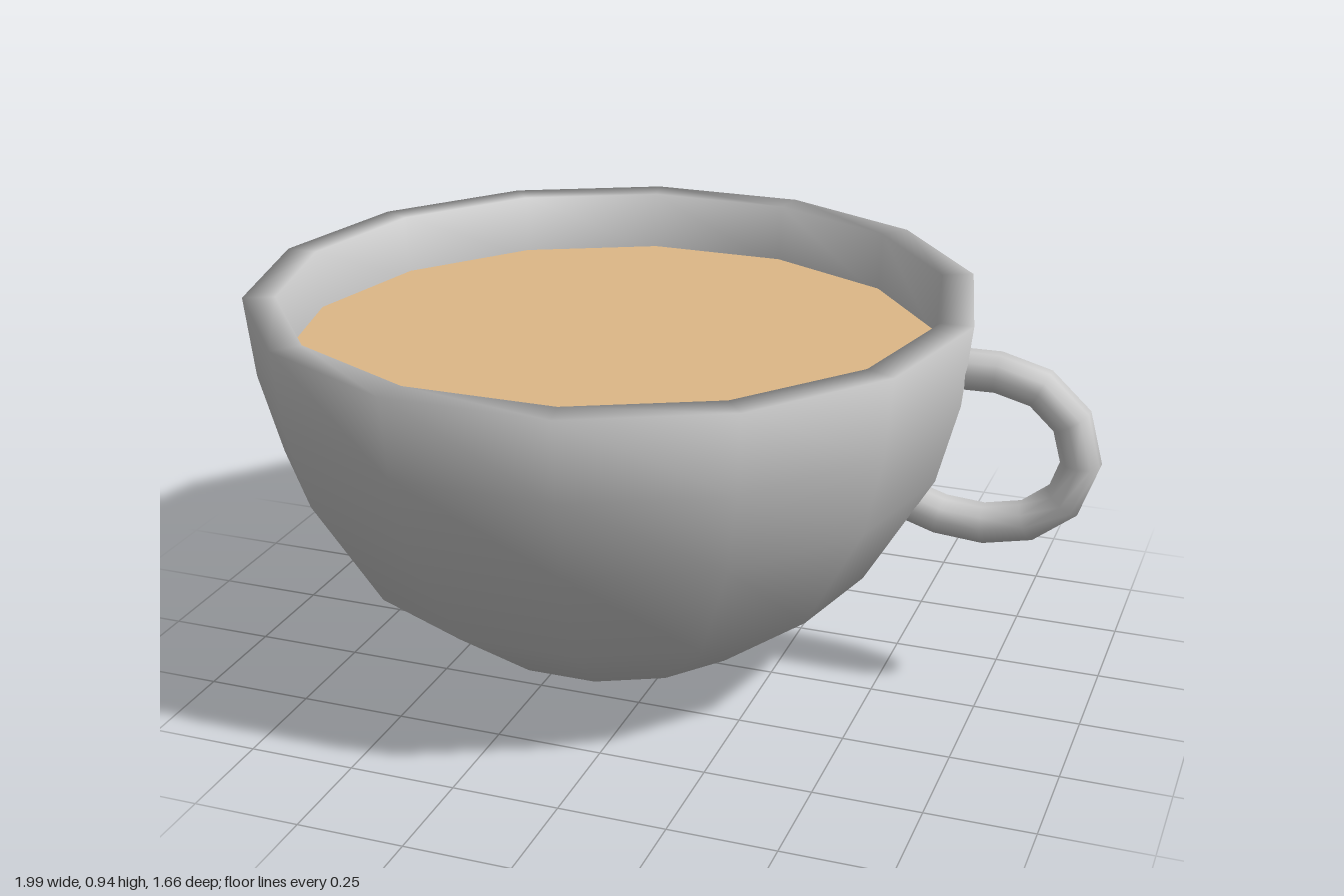
import * as THREE from 'three';

const SIDES = 14;
const CENTRE_X = -0.15;

export function createModel() {
  const model = new THREE.Group();
  model.name = 'cup';
  const grey = new THREE.MeshStandardMaterial({ color: 0xcccccc, side: THREE.DoubleSide });
  const tan = new THREE.MeshStandardMaterial({ color: 0xdeb887 });

  const add = (name, geometry, material) => {
    const mesh = new THREE.Mesh(geometry, material);
    mesh.name = name;
    model.add(mesh);
    return mesh;
  };

  // Bowl: outer wall up to the rim, over it and down the inner wall
  const profile = [
    [0, 0], [0.37, 0.1], [0.62, 0.29], [0.78, 0.56], [0.83, 0.75], [0.85, 0.94],
    [0.775, 0.94], [0.765, 0.78],
  ].map(([r, y]) => new THREE.Vector2(r, y));
  const bowl = add('bowl', new THREE.LatheGeometry(profile, SIDES, Math.PI / 2), grey);
  bowl.position.x = CENTRE_X;

  // Drink surface just below the rim
  const drink = add('drink', new THREE.CircleGeometry(0.768, SIDES), tan);
  drink.rotation.x = -Math.PI / 2;
  drink.position.set(CENTRE_X, 0.8, 0);

  // Handle: a bent tube whose ends sink into the wall
  const path = new THREE.CatmullRomCurve3([
    [0.65, 0.825], [0.765, 0.825], [0.86, 0.795], [0.925, 0.73], [0.95, 0.65],
    [0.93, 0.56], [0.86, 0.49], [0.77, 0.46], [0.66, 0.46], [0.54, 0.495],
  ].map(([x, y]) => new THREE.Vector3(x, y, -0.04)));
  add('handle', new THREE.TubeGeometry(path, 9, 0.047, 10), grey);

  return model;
}
